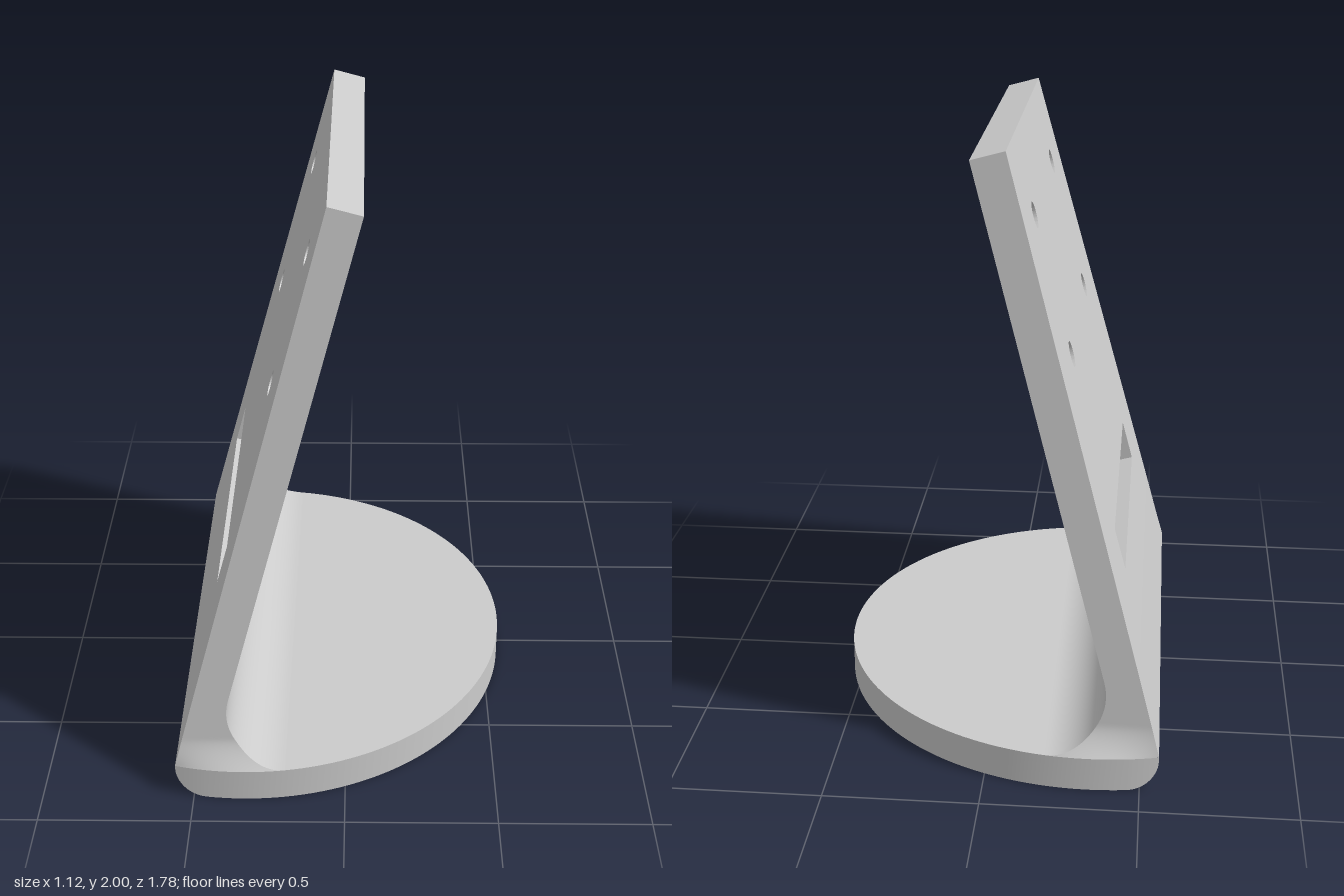
import * as THREE from 'three';
import { toCreasedNormals } from 'three/addons/utils/BufferGeometryUtils.js';

const TILT = THREE.MathUtils.degToRad(15), SIN = Math.sin(TILT), COS = Math.cos(TILT);
const T = 0.112;                          // thickness of plate and base
const CX = -0.335, RADIUS = 0.89;         // base circle
const BACK = -0.5707, TOP = 1.9176;       // back plane offset and top, in plate axes
const R = 0.19;                           // inner fillet
const FY = T + R, FX = (BACK + T + R + FY * SIN) / COS;
const FOOT = FX * SIN + FY * COS;         // where the flat plate starts
const HEEL = 0.1, HEEL_X = -0.46;         // outer rounding at the back
const lerp = THREE.MathUtils.lerp;

const circleZ = x => Math.sqrt(Math.max(0, RADIUS ** 2 - (x - CX) ** 2));
const taper = s => 0.66 + 0.099 * (TOP - s);

// Half width of the bend: tapered plate flaring out to the base circle
function bendZ(x, y) {
  const w = taper(x * SIN + y * COS);
  const t = THREE.MathUtils.clamp((y - T) / 0.095, 0, 1);
  return w + (circleZ(x) - w) * (1 - t) ** 1.7;
}

export function createModel() {
  const model = new THREE.Group();
  const material = new THREE.MeshStandardMaterial({ color: 0xcccccc });

  function add(parent, name, geometry) {
    const mesh = new THREE.Mesh(geometry, material);
    mesh.name = name;
    parent.add(mesh);
    return mesh;
  }

  // Curved sheet from a rule f(u, v) -> [x, y, z]; it faces along u cross v
  function sheet(nu, nv, f) {
    const g = new THREE.PlaneGeometry(1, 1, nu, nv);
    const p = g.attributes.position, uv = g.attributes.uv;
    for (let i = 0; i < p.count; i++) p.setXYZ(i, ...f(uv.getX(i), uv.getY(i)));
    g.computeVertexNormals();
    return g;
  }

  // Tilted plate with four screw holes and a cable slot
  const shape = new THREE.Shape();
  shape.moveTo(-taper(FOOT), FOOT);
  shape.lineTo(taper(FOOT), FOOT);
  shape.lineTo(taper(TOP), TOP);
  shape.lineTo(-taper(TOP), TOP);
  shape.closePath();
  for (const a of [-0.4, 0.4]) for (const s of [1.188, 1.657]) {
    shape.holes.push(new THREE.Path().absarc(a, s, 0.042, 0, Math.PI * 2, true));
  }
  const slot = new THREE.Path();
  slot.moveTo(-0.49, 0.458);
  slot.lineTo(-0.49, 0.603);
  slot.lineTo(0.49, 0.603);
  slot.lineTo(0.49, 0.458);
  slot.closePath();
  shape.holes.push(slot);
  const plate = add(model, 'backPlate', toCreasedNormals(
    new THREE.ExtrudeGeometry(shape, { depth: T, bevelEnabled: false, curveSegments: 32 }), 0.6));
  const normal = new THREE.Vector3(COS, -SIN, 0);
  plate.quaternion.setFromRotationMatrix(new THREE.Matrix4().makeBasis(
    new THREE.Vector3(0, 0, -1), new THREE.Vector3(SIN, COS, 0), normal));
  plate.position.copy(normal).multiplyScalar(BACK);

  // Bend: rows rise from the base top to the foot of the plate
  const bend = new THREE.Group();
  bend.name = 'bend';
  model.add(bend);
  const backTop = [BACK * COS + FOOT * SIN, -BACK * SIN + FOOT * COS];
  function bendPoint(u, v) {
    const a = lerp(Math.PI * 1.5, Math.PI - TILT, v);
    const x = lerp(lerp(HEEL_X - HEEL, backTop[0], v), FX + R * Math.cos(a), u);
    const y = lerp(lerp(T, backTop[1], v), FY + R * Math.sin(a), u);
    return [x, y, bendZ(x, y)];
  }
  const across = (u, v, k) => {
    const [x, y, z] = bendPoint(u, v);
    return [x, y, z * k];
  };
  add(bend, 'fillet', sheet(2, 32, (u, v) => across(1, v, 1 - 2 * u)));
  add(bend, 'bendBack', sheet(2, 32, (u, v) => across(0, v, 2 * u - 1)));
  add(bend, 'leftFlare', sheet(24, 32, (u, v) => across(u, v, 1)));
  add(bend, 'rightFlare', sheet(24, 32, (u, v) => across(1 - u, v, -1)));

  // Base: sections run from the front of the circle to the rounded heel
  const base = new THREE.Group();
  base.name = 'base';
  model.add(base);
  const sections = [];
  const angleAt = x => Math.acos((x - CX) / RADIUS);
  const a1 = angleAt(FX), a2 = angleAt(HEEL_X);
  const onCircle = a => sections.push([CX + RADIUS * Math.cos(a), 0]);
  for (let i = 0; i <= 40; i++) onCircle(a1 * i / 40);
  for (let i = 1; i <= 8; i++) onCircle(lerp(a1, a2, i / 8));
  for (let i = 1; i <= 12; i++) {
    const a = Math.PI / 2 * i / 12;
    sections.push([HEEL_X - HEEL * Math.sin(a), HEEL - HEEL * Math.cos(a)]);
  }
  sections.push([HEEL_X - HEEL, T]);
  const last = sections.length - 1;
  const section = (u, n) => {
    const [x, y] = sections[Math.round(u * n)];
    return [x, y, circleZ(x)];
  };
  add(base, 'baseTop', sheet(40, 1, (u, v) => {
    const [x, , z] = section(u, 40);
    return [x, T, z * (2 * v - 1)];
  }));
  add(base, 'baseUnderside', sheet(last, 1, (u, v) => {
    const [x, y, z] = section(u, last);
    return [x, y, z * (1 - 2 * v)];
  }));
  for (const side of [1, -1]) {
    add(base, side > 0 ? 'leftRim' : 'rightRim', sheet(last, 1, (u, v) => {
      const [x, y, z] = section(u, last);
      return [x, lerp(y, T, side > 0 ? 1 - v : v), z * side];
    }));
  }
  return model;
}
